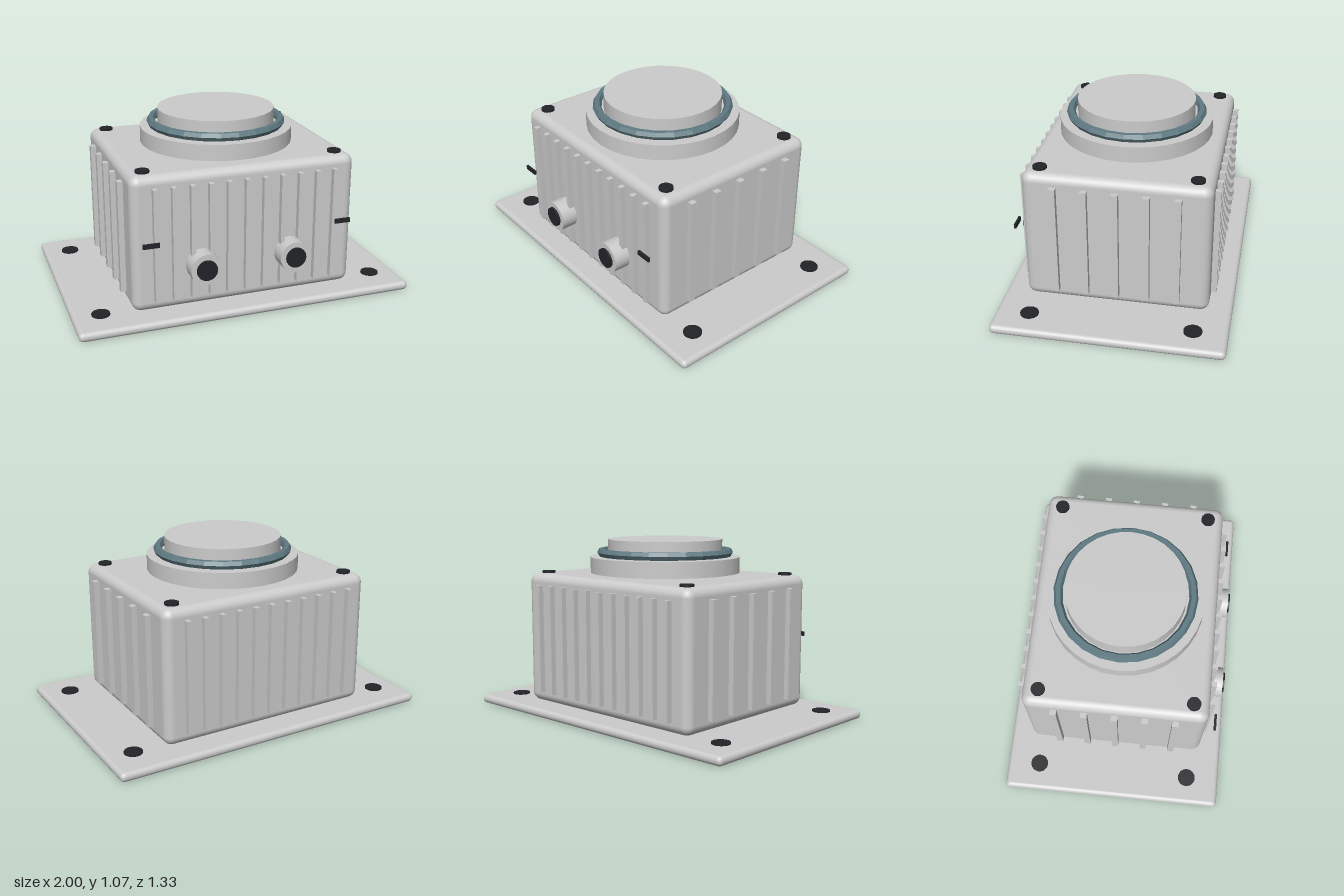
import * as THREE from 'three';
import { RoundedBoxGeometry } from 'three/addons/geometries/RoundedBoxGeometry.js';

export function createModel() {
  const group = new THREE.Group();
  const grey = new THREE.MeshStandardMaterial({ color: 0xcccccc });
  const dark = new THREE.MeshStandardMaterial({ color: 0x222428 });
  const teal = new THREE.MeshStandardMaterial({ color: 0x5f7a82, flatShading: true });

  const add = (name, geometry, material, x, y, z) => {
    const mesh = new THREE.Mesh(geometry, material);
    mesh.name = name;
    mesh.position.set(x, y, z);
    group.add(mesh);
    return mesh;
  };
  const disc = (name, r, y0, y1, material, x = 0, z = 0, sides = 32) =>
    add(name, new THREE.CylinderGeometry(r, r, y1 - y0, sides), material, x, (y0 + y1) / 2, z);

  // Mounting plate and housing
  add('basePlate', new RoundedBoxGeometry(2, 0.054, 1.33, 4, 0.026), grey, 0, 0.027, 0);
  add('housing', new RoundedBoxGeometry(1.33, 0.8, 1.064, 4, 0.053), grey, 0, 0.455, 0);

  // Cooling ribs on all four walls
  const ribY = 0.455, ribHeight = 0.665;
  for (const side of [-1, 1]) {
    for (let i = -5; i <= 5; i++) {
      add('longWallRib', new THREE.BoxGeometry(0.027, ribHeight, 0.054), grey, i * 0.1065, ribY, side * 0.538);
    }
    for (let i = -2; i <= 2; i++) {
      add('shortWallRib', new THREE.BoxGeometry(0.054, ribHeight, 0.038), grey, side * 0.67, ribY, i * 0.174);
    }
  }

  // Round turret with its sealing ring
  disc('turretFlange', 0.453, 0.868, 0.962, grey);
  disc('turretCap', 0.347, 0.955, 1.068, grey);
  const seal = add('sealRing', new THREE.TorusGeometry(0.387, 0.026, 6, 24), teal, 0, 0.988, 0);
  seal.rotation.x = Math.PI / 2;

  // Screws at the corners of the lid and the plate
  for (const sx of [-1, 1]) {
    for (const sz of [-1, 1]) {
      disc('lidScrew', 0.04, 0.845, 0.868, dark, sx * 0.573, sz * 0.44, 24);
      disc('plateBolt', 0.053, 0.045, 0.062, dark, sx * 0.84, sz * 0.467, 24);
    }
  }

  // Front connectors and marker bars
  const port = (name, r, z0, z1, material, x) => {
    const mesh = add(name, new THREE.CylinderGeometry(r, r, z1 - z0, 24), material, x, 0.31, (z0 + z1) / 2);
    mesh.rotation.x = Math.PI / 2;
  };
  for (const side of [-1, 1]) {
    port('connector', 0.092, 0.522, 0.63, grey, side * 0.267);
    port('connectorSocket', 0.06, 0.6, 0.643, dark, side * 0.267);
    add('markerBar', new THREE.BoxGeometry(0.094, 0.026, 0.013), dark, side * 0.571, 0.482, 0.593);
  }

  return group;
}
